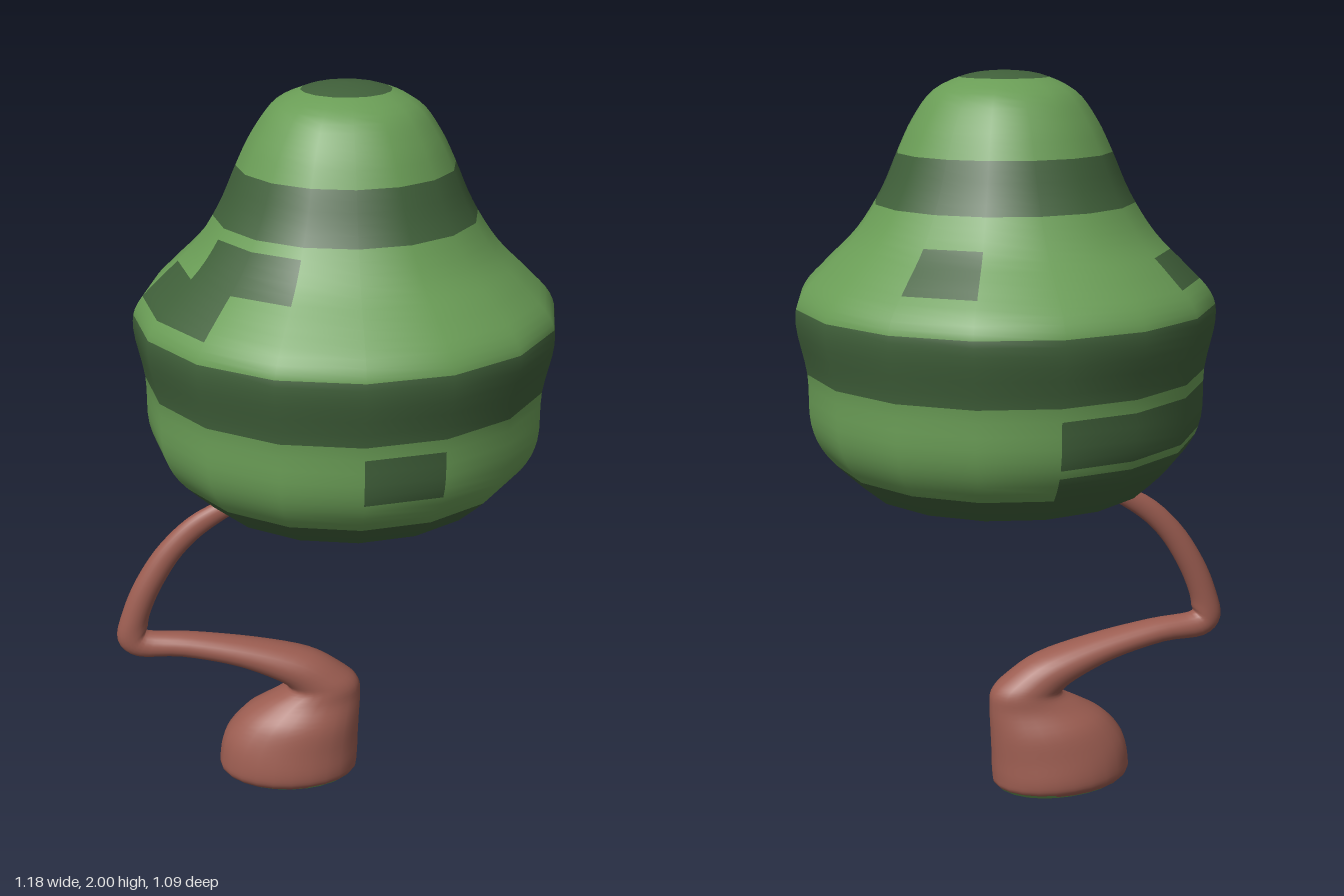
import * as THREE from 'three';

const paint = (color) => new THREE.MeshStandardMaterial({ color, side: THREE.DoubleSide });

// Limb lofted through rows of [leftX, leftY, rightX, rightY, halfDepth]
function limb(rows, samples, sides = 24) {
  const curve = (f) => new THREE.CatmullRomCurve3(rows.map(f), false, 'catmullrom', 0.5);
  const left = curve((r) => new THREE.Vector3(r[0], r[1], r[4]));
  const right = curve((r) => new THREE.Vector3(r[2], r[3], r[4]));
  const pos = [], index = [];
  for (let i = 0; i <= samples; i++) {
    const l = left.getPoint(i / samples), r = right.getPoint(i / samples);
    for (let j = 0; j < sides; j++) {
      const a = (j / sides) * Math.PI * 2, c = Math.cos(a) / 2;
      pos.push((l.x + r.x) / 2 + (r.x - l.x) * c, (l.y + r.y) / 2 + (r.y - l.y) * c, l.z * Math.sin(a));
      if (i === samples) continue;
      const p = i * sides + j, q = i * sides + ((j + 1) % sides);
      index.push(p, p + sides, q, p + sides, q + sides, q);
    }
  }
  const geo = new THREE.BufferGeometry();
  geo.setAttribute('position', new THREE.Float32BufferAttribute(pos, 3));
  geo.setIndex(index);
  geo.computeVertexNormals();
  return geo;
}

// Give every quad one of two materials, chosen by its centre
function paintQuads(geo, pick) {
  const p = geo.attributes.position, idx = geo.index;
  for (let k = 0; k < idx.count; k += 6) {
    const c = new THREE.Vector3();
    for (let n = 0; n < 6; n++) c.add(new THREE.Vector3().fromBufferAttribute(p, idx.getX(k + n)));
    geo.addGroup(k, 6, pick(c.divideScalar(6)) ? 1 : 0);
  }
}

export function createModel() {
  const model = new THREE.Group();
  const leaf = paint(0x6a9d56), darkLeaf = paint(0x40603a), bark = paint(0x9c5d51);

  // Canopy: a hollow sixteen-sided bell, open underneath
  const outline = [
    [0.38, 0.935], [0.475, 1.03], [0.515, 1.12], [0.52, 1.25], [0.545, 1.38], [0.53, 1.45],
    [0.465, 1.52], [0.385, 1.6], [0.32, 1.7], [0.275, 1.8], [0.235, 1.88], [0.18, 1.95], [0.09, 1.99], [0.001, 2],
  ].map(([r, y]) => new THREE.Vector2(r, y));
  const canopyGeo = new THREE.LatheGeometry(new THREE.SplineCurve(outline).getPoints(52), 16);

  // Dark stripes all round, then loose patches of [angle, half width, low, high]
  const stripes = [[0.9, 0.995], [1.265, 1.42], [1.68, 1.795], [1.982, 2.1]];
  const patches = [
    [-0.8, 0.35, 1.55, 1.66], [-1.1, 0.3, 1.46, 1.56], [0.3, 0.2, 1.1, 1.22],
    [-2.3, 0.2, 1.48, 1.56], [2.5, 0.2, 1.5, 1.6], [-2.5, 0.9, 0.99, 1.07], [-2.6, 0.6, 1.1, 1.2],
  ];
  paintQuads(canopyGeo, (c) => {
    const angle = Math.atan2(c.x, c.z);
    return stripes.some(([a, b]) => c.y > a && c.y < b)
      || patches.some(([m, w, a, b]) => Math.abs(angle - m) < w && c.y > a && c.y < b);
  });
  const canopy = new THREE.Mesh(canopyGeo, [leaf, darkLeaf]);
  canopy.name = 'canopy';
  canopy.position.x = 0.04;
  model.add(canopy);

  // Trunk: broad foot, sharp zigzag, thin tip curling up into the canopy
  const trunkGeo = limb([
    [-0.12, 0.005, -0.12, 0.005, 0], [-0.26, 0.025, 0.02, 0.015, 0.09], [-0.31, 0.05, 0.07, 0.04, 0.13],
    [-0.315, 0.09, 0.078, 0.07, 0.14], [-0.3, 0.16, 0.08, 0.13, 0.13], [-0.25, 0.225, 0.083, 0.2, 0.115],
    [-0.18, 0.27, 0.086, 0.27, 0.085], [-0.125, 0.3, 0.08, 0.32, 0.075], [-0.13, 0.32, 0.04, 0.36, 0.072],
    [-0.18, 0.35, -0.05, 0.415, 0.068], [-0.28, 0.39, -0.2, 0.455, 0.055], [-0.42, 0.42, -0.38, 0.485, 0.042],
    [-0.54, 0.425, -0.5, 0.495, 0.036], [-0.59, 0.475, -0.505, 0.515, 0.036], [-0.573, 0.56, -0.495, 0.56, 0.035],
    [-0.53, 0.66, -0.46, 0.64, 0.033], [-0.46, 0.765, -0.4, 0.735, 0.028], [-0.36, 0.855, -0.32, 0.81, 0.022],
    [-0.22, 0.912, -0.195, 0.882, 0.017], [-0.1, 0.905, -0.1, 0.88, 0.014], [0, 0.89, 0, 0.865, 0.013],
    [0.08, 0.92, 0.09, 0.905, 0.01], [0.16, 0.98, 0.16, 0.98, 0],
  ], 88);
  paintQuads(trunkGeo, (c) => c.y < 0.04); // mossy underside
  const trunk = new THREE.Mesh(trunkGeo, [bark, leaf]);
  trunk.name = 'trunk';
  model.add(trunk);

  // Short side twig
  const twig = new THREE.Mesh(limb([
    [-0.2, 0.885, -0.17, 0.905, 0.013], [-0.25, 0.918, -0.24, 0.932, 0.01], [-0.3, 0.955, -0.3, 0.955, 0],
  ], 8, 10), bark);
  twig.name = 'twig';
  model.add(twig);

  return model;
}
